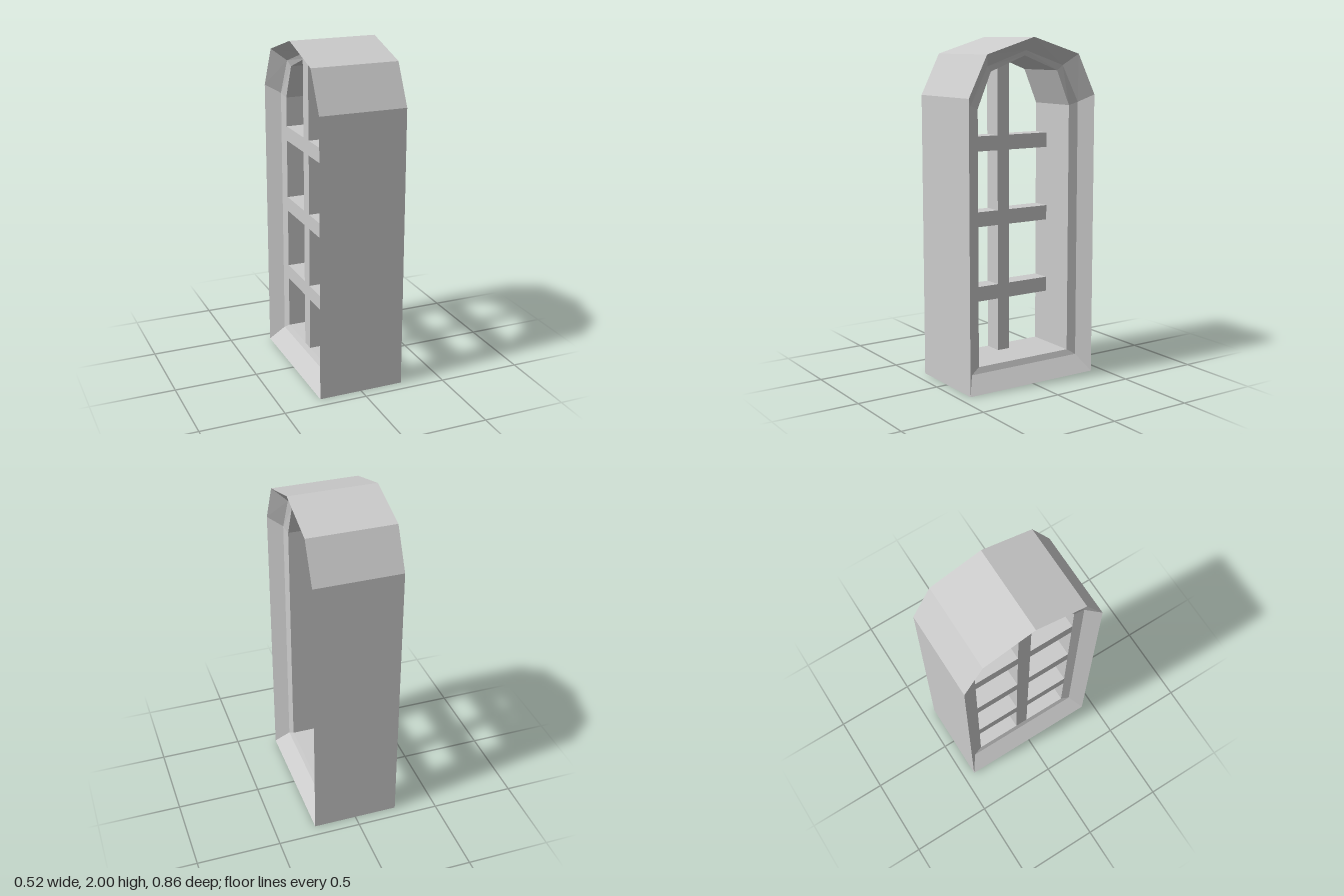
import * as THREE from 'three';

const material = new THREE.MeshStandardMaterial({ color: 0xcccccc, flatShading: true, side: THREE.DoubleSide });

// Half outlines [z, y]: sill corner, arch spring, arch shoulder, arch apex
const OUTER = [[0.43, 0], [0.43, 1.67], [0.312, 1.905], [0, 2]];
const MIDDLE = [[0.37, 0.095], [0.37, 1.625], [0.258, 1.84], [0, 1.926]];
const INNER = [[0.315, 0.13], [0.315, 1.607], [0.228, 1.81], [0, 1.897]];

// Mirror a half outline into a closed ring at depth x
function ring(half, x) {
  const right = half.map(([z, y]) => [x, y, -z]);
  const left = half.slice(0, -1).reverse().map(([z, y]) => [x, y, z]);
  return [...right, ...left];
}

// Join the rings, last one back to the first, into a closed flat-faced band
function loft(rings) {
  const pos = [];
  rings.forEach((a, k) => {
    const b = rings[(k + 1) % rings.length];
    a.forEach((p, i) => {
      const j = (i + 1) % a.length;
      pos.push(...p, ...b[i], ...b[j], ...p, ...b[j], ...a[j]);
    });
  });
  const g = new THREE.BufferGeometry();
  g.setAttribute('position', new THREE.Float32BufferAttribute(pos, 3));
  g.computeVertexNormals();
  return g;
}

export function createModel() {
  const model = new THREE.Group();
  model.name = 'archedWindow';

  const add = (name, geometry, x = 0, y = 0, z = 0) => {
    const mesh = new THREE.Mesh(geometry, material);
    mesh.name = name;
    mesh.position.set(x, y, z);
    model.add(mesh);
  };

  // Deep frame with a two-step chamfer on both openings
  add('frame', loft([
    ring(OUTER, 0.258), ring(OUTER, -0.258),
    ring(MIDDLE, -0.178), ring(INNER, -0.165),
    ring(INNER, 0.165), ring(MIDDLE, 0.178),
  ]));

  // Glazing bars, set flush with one edge of the opening
  const depth = 0.112, barX = -0.165 + depth / 2;
  add('mullion', new THREE.BoxGeometry(depth, 1.765, 0.08), barX, 0.13 + 1.765 / 2, 0);
  for (const y of [0.495, 0.943, 1.388]) {
    for (const side of [-1, 1]) {
      add('crossbar', new THREE.BoxGeometry(depth, 0.088, 0.275), barX, y, side * 0.1775);
    }
  }
  return model;
}
